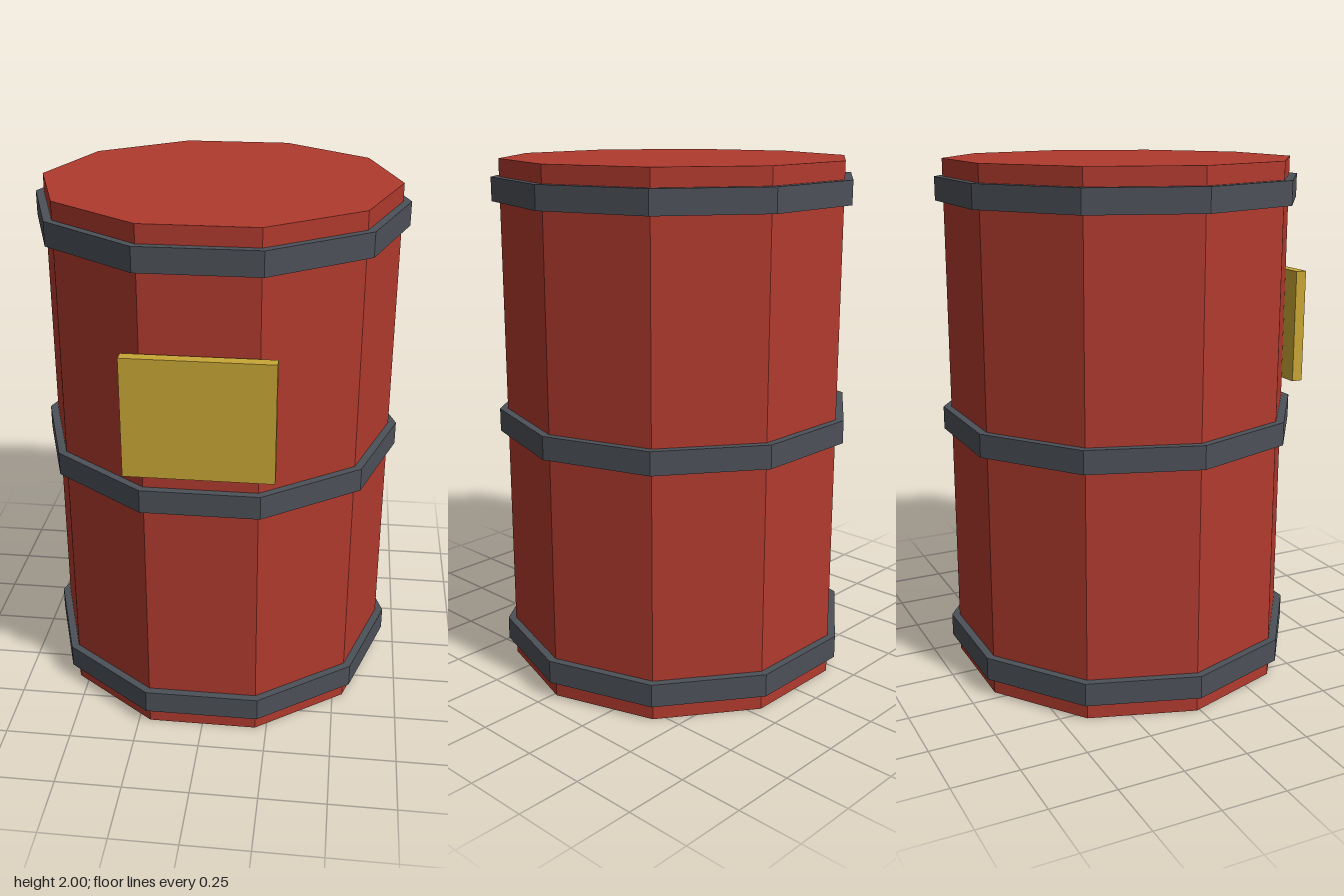
import * as THREE from 'three';

const SIDES = 10;
const CENTRE_Z = -0.013; // barrel sits slightly back to balance the label plate

export function createModel() {
  const group = new THREE.Group();
  group.name = 'barrel';

  const paint = (name, color) => {
    const material = new THREE.MeshStandardMaterial({ color });
    material.name = name;
    material.flatShading = true;
    return material;
  };
  const red = paint('redPaint', 0xb03a2e);
  const steel = paint('darkSteel', 0x4c5158);
  const yellow = paint('yellowLabel', 0xc8a635);

  const add = (name, geometry, material, x, y, z) => {
    const mesh = new THREE.Mesh(geometry, material);
    mesh.name = name;
    mesh.position.set(x, y, z);
    group.add(mesh);
  };

  // Ten-sided prism with corners on the x axis and flats facing front and back
  const prism = (radius, height) =>
    new THREE.CylinderGeometry(radius, radius, height, SIDES, 1, false, Math.PI / SIDES);

  // Drum body
  add('body', prism(0.667, 2), red, 0, 1, CENTRE_Z);

  // Three hoops
  const hoop = prism(0.698, 0.089);
  [['bottomHoop', 0.111], ['middleHoop', 1], ['topHoop', 1.889]].forEach(([name, y]) =>
    add(name, hoop, steel, 0, y, CENTRE_Z));

  // Front label plate, held just off the body
  add('labelPlate', new THREE.BoxGeometry(0.534, 0.444, 0.044), yellow, 0, 1.335, 0.655);

  return group;
}
